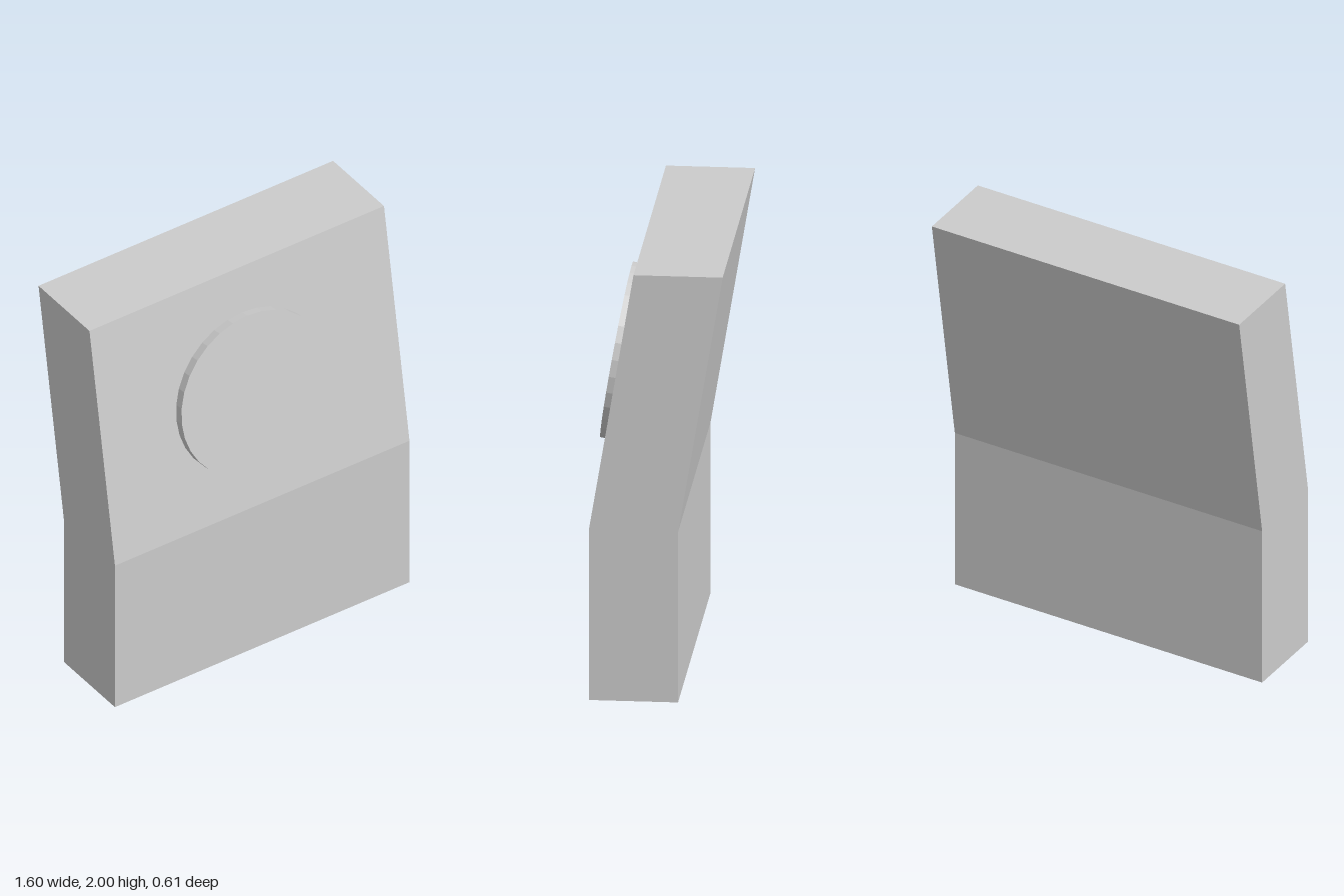
import * as THREE from 'three';

export function createModel() {
  const group = new THREE.Group();
  const material = new THREE.MeshStandardMaterial({ color: 0xcccccc, flatShading: true });
  const lean = Math.atan2(0.2, 1.2);

  // Slab: upright below, leaning back above; side profile drawn as (-z, y)
  const width = 1.6;
  const profile = new THREE.Shape([
    [-0.292, 0], [0.108, 0], [0.108, 0.8], [0.308, 2], [-0.092, 2], [-0.292, 0.8],
  ].map(([a, b]) => new THREE.Vector2(a, b)));
  const slabGeometry = new THREE.ExtrudeGeometry(profile, { depth: width, bevelEnabled: false });
  slabGeometry.translate(0, 0, -width / 2).rotateY(Math.PI / 2);
  const slab = new THREE.Mesh(slabGeometry, material);
  slab.name = 'slab';
  group.add(slab);

  // Raised round plate, lying flat on the leaning front face
  const thickness = 0.043;
  const discGeometry = new THREE.CylinderGeometry(0.4, 0.4, thickness, 32);
  discGeometry.translate(0, thickness / 2, 0).rotateX(Math.PI / 2 - lean);
  const disc = new THREE.Mesh(discGeometry, material);
  disc.name = 'roundPlate';
  disc.position.set(0, 1.383, 0.197);
  group.add(disc);

  return group;
}
